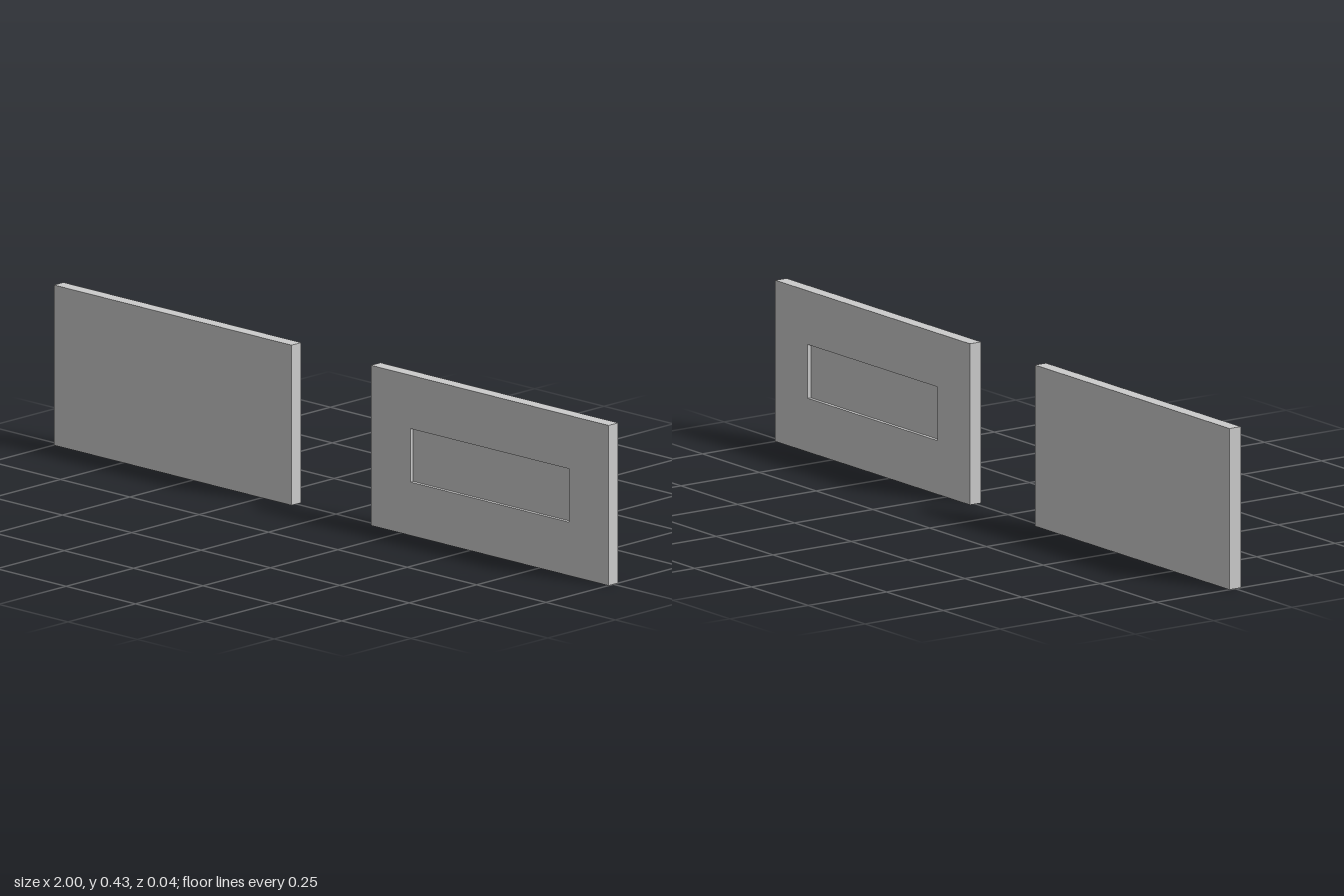
import * as THREE from 'three';

const U = 1 / 7; // layout module: plates are 6 x 3 modules, 2 apart
const W = 6 * U, H = 3 * U, T = 0.25 * U;
const RECESS_W = 4 * U, RECESS_H = U, RECESS_DEPTH = 0.01;

const material = new THREE.MeshStandardMaterial({ color: 0xcccccc });

function addMesh(parent, name, geometry) {
  const mesh = new THREE.Mesh(geometry, material);
  mesh.name = name;
  parent.add(mesh);
}

// Rectangle centred on the origin
function rectangle(Type, w, h) {
  return new Type([
    new THREE.Vector2(-w / 2, -h / 2),
    new THREE.Vector2(w / 2, -h / 2),
    new THREE.Vector2(w / 2, h / 2),
    new THREE.Vector2(-w / 2, h / 2),
  ]);
}

export function createModel() {
  const model = new THREE.Group();
  model.name = 'platePair';

  // Plain plate
  const plain = new THREE.Group();
  plain.name = 'plainPlate';
  plain.position.set(-4 * U, H / 2, 0);
  addMesh(plain, 'plainSlab', new THREE.BoxGeometry(W, H, T));

  // Plate with a shallow rectangular recess in both faces
  const recessed = new THREE.Group();
  recessed.name = 'recessedPlate';
  recessed.position.set(4 * U, H / 2, 0);

  const outline = rectangle(THREE.Shape, W, H);
  outline.holes.push(rectangle(THREE.Path, RECESS_W, RECESS_H));
  const frame = new THREE.ExtrudeGeometry(outline, { depth: T, bevelEnabled: false });
  frame.translate(0, 0, -T / 2);
  addMesh(recessed, 'recessFrame', frame);

  // Web closing the opening, set back from each face
  addMesh(recessed, 'recessFloor', new THREE.BoxGeometry(RECESS_W, RECESS_H, T - 2 * RECESS_DEPTH));

  model.add(plain, recessed);
  return model;
}
